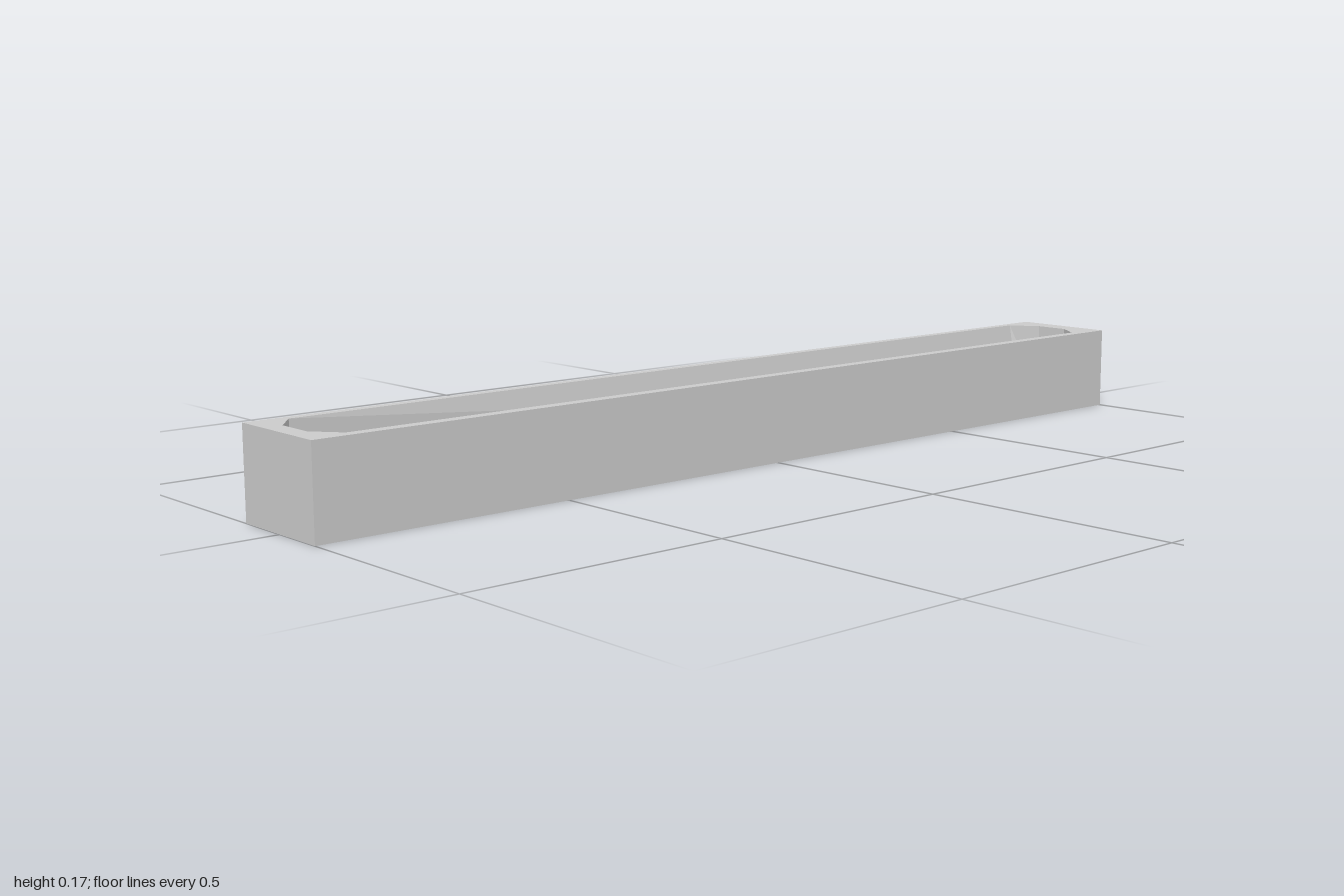
import * as THREE from 'three';

const HEIGHT = 0.168, FLOOR = 0.02, DENT = 0.01;

// Outlines as [x, z], running counter-clockwise seen from above
const rect = (x0, x1, z0, z1) => [[x0, z1], [x1, z1], [x1, z0], [x0, z0]];
const outer = rect(-1, 1, -0.108, 0.108);
const mouth = [
  [-0.925, 0.086], [0.92, 0.086], [0.957, 0.035], [0.957, -0.035],
  [0.92, -0.09], [-0.925, -0.09], [-0.965, -0.04], [-0.965, 0.035],
];
// The back wall leans inwards towards the left end
const floorLine = mouth.map(([x, z], i) => (i === 4 ? [x, -0.064] : [x, z]));
const dentTop = rect(0.16, 0.26, -0.068, 0.068);
const dentBottom = rect(0.16, 0.26, -0.032, 0.032);

const material = new THREE.MeshStandardMaterial({ color: 0xcccccc, flatShading: true });

// Flat horizontal face with optional holes, facing up or down
function cap(name, outline, y, holes = [], up = true) {
  const s = up ? -1 : 1;
  const points = (line) => line.map(([x, z]) => new THREE.Vector2(x, s * z));
  const shape = new THREE.Shape(points(outline));
  shape.holes = holes.map((h) => new THREE.Path(points(h)));
  const geometry = new THREE.ShapeGeometry(shape);
  geometry.rotateX((s * Math.PI) / 2).translate(0, y, 0);
  return named(name, geometry);
}

// Band of quads between two outlines; listing the upper one first faces it inwards
function wall(name, lineA, yA, lineB, yB) {
  const positions = [];
  lineA.forEach((p, i) => {
    const j = (i + 1) % lineA.length;
    const a = [p[0], yA, p[1]], b = [lineA[j][0], yA, lineA[j][1]];
    const c = [lineB[j][0], yB, lineB[j][1]], d = [lineB[i][0], yB, lineB[i][1]];
    positions.push(...a, ...b, ...d, ...b, ...c, ...d);
  });
  const geometry = new THREE.BufferGeometry();
  geometry.setAttribute('position', new THREE.Float32BufferAttribute(positions, 3));
  geometry.computeVertexNormals();
  return named(name, geometry);
}

function named(name, geometry) {
  const mesh = new THREE.Mesh(geometry, material);
  mesh.name = name;
  return mesh;
}

export function createModel() {
  const group = new THREE.Group();
  group.name = 'trough';
  group.add(
    // Outside of the box
    wall('outerWalls', outer, 0, outer, HEIGHT),
    cap('underside', outer, 0, [], false),
    cap('rim', outer, HEIGHT, [mouth]),
    // Hollow with cut corners
    wall('innerWalls', mouth, HEIGHT, floorLine, FLOOR),
    cap('innerFloor', floorLine, FLOOR, [dentTop]),
    // Shallow dent across the floor
    wall('dentSlopes', dentTop, FLOOR, dentBottom, DENT),
    cap('dentFloor', dentBottom, DENT),
  );
  return group;
}
